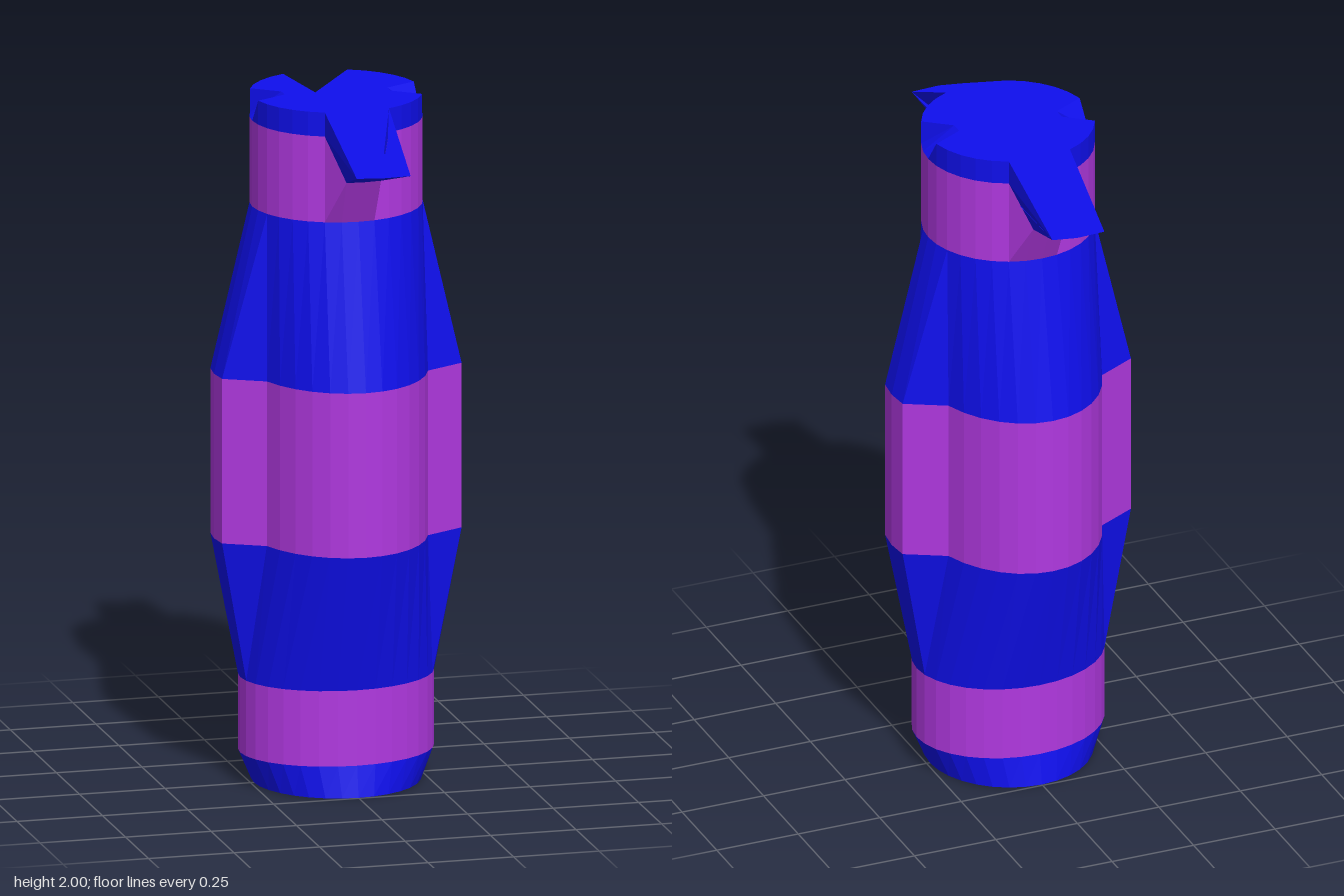
import * as THREE from 'three';

const N = 32; // columns around the body, column 0 faces the front
const BLUE = 0x0f0fee, PURPLE = 0xb038e0;

// Cross-sections from bottom to top: height, half width, half depth, half width over the side ridges
const LEVELS = [
  { y: 0, rx: 0.24, rz: 0.245 },
  { y: 0.09, rx: 0.28, rz: 0.23 },
  { y: 0.31, rx: 0.28, rz: 0.23 },
  { y: 0.72, rx: 0.255, rz: 0.325, ridge: 0.357 },
  { y: 1.2, rx: 0.255, rz: 0.325, ridge: 0.357 },
  { y: 1.68, rx: 0.245, rz: 0.245 },
  { y: 1.93, rx: 0.245, rz: 0.245, lip: [[-0.05, 1.81, 0.3], [0, 1.81, 0.305], [0.05, 1.81, 0.3]] },
  { y: 2, rx: 0.245, rz: 0.245, notch: true, lip: [[-0.07, 1.87, 0.485], [0, 1.87, 0.5], [0.085, 1.87, 0.495]] },
];

// One point of a cross-section; the back half is the front half turned by 180 degrees
function sectionPoint({ y, rx, rz, ridge, lip, notch }, k) {
  const turn = k >= 8 && k < 24 ? -1 : 1;
  const j = ((k + 8) % 16) - 8;
  const a = (j / N) * Math.PI * 2;
  const onRidge = Math.abs(j) >= 7;
  let p = [rx * Math.sin(a), y, rz * Math.cos(a)];
  if (ridge && onRidge) p[0] = ridge * Math.sin(a);
  if (lip && Math.abs(j) <= 1) p = lip[j + 1];
  if (notch && j === 7) p = [0.15, y, 0.035];
  if (notch && j === -8) p = [-0.15, y, 0];
  return new THREE.Vector3(p[0] * turn, p[1], p[2] * turn);
}

const ring = (level) => Array.from({ length: N }, (_, k) => sectionPoint(level, k));

function addMesh(group, name, points, color, flatShading = true) {
  const geometry = new THREE.BufferGeometry().setFromPoints(points);
  geometry.computeVertexNormals();
  const mesh = new THREE.Mesh(geometry, new THREE.MeshStandardMaterial({ color, flatShading }));
  mesh.name = name;
  group.add(mesh);
  return mesh;
}

// Wall between two neighbouring cross-sections
function wall(lower, upper) {
  const points = [];
  for (let k = 0; k < N; k++) {
    const n = (k + 1) % N;
    points.push(lower[k], lower[n], upper[n], lower[k], upper[n], upper[k]);
  }
  return points;
}

// Flat half of the top, between two columns
function flatHalf(rim, from, to) {
  const part = rim.slice(from, to + 1);
  const outline = part.map((p) => new THREE.Vector2(p.x, -p.z));
  return THREE.ShapeUtils.triangulateShape(outline, []).flat().map((i) => part[i]);
}

export function createModel() {
  const group = new THREE.Group();
  group.name = 'bottle';
  const rings = LEVELS.map(ring);

  // Bands of the body in alternating colours
  const names = ['foot', 'lowerBand', 'lowerBody', 'gripBand', 'upperBody', 'neckBand', 'rimAndLips'];
  names.forEach((name, i) => {
    addMesh(group, name, wall(rings[i], rings[i + 1]), i % 2 ? PURPLE : BLUE);
  });

  // Underside
  const base = rings[0];
  const bottom = [];
  for (let k = 1; k < N - 1; k++) bottom.push(base[0], base[k + 1], base[k]);
  addMesh(group, 'underside', bottom, BLUE);

  // Top: two flat halves, with a slanted channel running from lip to lip
  const rim = rings[rings.length - 1];
  const channel = [
    [30, 31, 0], [30, 0, 1], [30, 1, 15], [30, 15, 18],
    [15, 16, 18], [16, 17, 18], [1, 2, 14], [1, 14, 15],
  ].flat().map((k) => rim[k]);
  const top = addMesh(group, 'top', [...flatHalf(rim, 2, 14), ...flatHalf(rim, 18, 30), ...channel], BLUE, false);
  // Shade the whole top as one face
  const normal = top.geometry.attributes.normal;
  for (let i = 0; i < normal.count; i++) normal.setXYZ(i, 0, 1, 0);

  return group;
}
